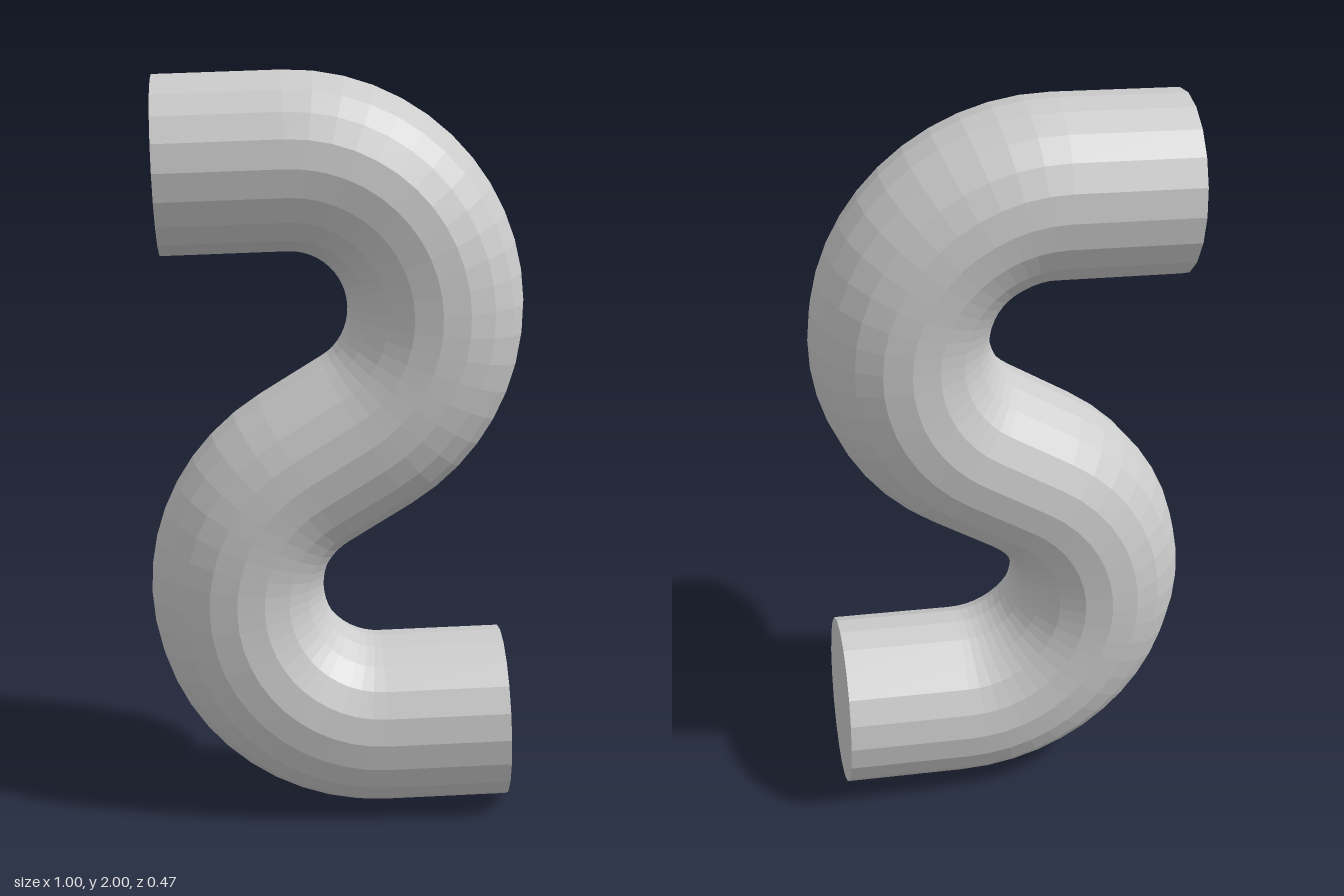
import * as THREE from 'three';

const SIDES = 20, ARC_STEPS = 20;
const TUBE_R = 0.234, BEND_R = 0.386;
const BEND = new THREE.Vector2(-0.12, 1.38); // centre of the upper bend
const STUB = 0.332; // length of the straight ends

// Upper half of the centre line: straight end, then the bend down to the middle
function upperHalf() {
  const half = Math.hypot(BEND.x, 1 - BEND.y);
  const start = THREE.MathUtils.degToRad(91.9);
  const end = Math.atan2(1 - BEND.y, -BEND.x) + Math.acos(BEND_R / half);
  const stations = [];
  for (let i = 0; i <= ARC_STEPS; i++) {
    const angle = THREE.MathUtils.lerp(start, end, i / ARC_STEPS);
    stations.push({ x: BEND.x + BEND_R * Math.cos(angle), y: BEND.y + BEND_R * Math.sin(angle), angle });
  }
  const first = stations[0];
  stations.unshift({ x: first.x - STUB * Math.sin(start), y: first.y + STUB * Math.cos(start), angle: start });
  return stations;
}

// Round cross-sections joined along the centre line, closed with flat ends
function tubeGeometry(stations) {
  const positions = [], index = [];
  for (const { x, y, angle } of stations) {
    for (let j = 0; j < SIDES; j++) {
      const t = (j / SIDES) * Math.PI * 2;
      const out = TUBE_R * Math.cos(t);
      positions.push(x + out * Math.cos(angle), y + out * Math.sin(angle), TUBE_R * Math.sin(t));
    }
  }
  const last = stations.length - 1;
  for (let i = 0; i < last; i++) {
    for (let j = 0; j < SIDES; j++) {
      const k = (j + 1) % SIDES;
      const a = i * SIDES + j, b = i * SIDES + k;
      index.push(a, b, a + SIDES, b, b + SIDES, a + SIDES);
    }
  }
  const base = last * SIDES;
  for (let j = 1; j < SIDES - 1; j++) {
    index.push(0, j + 1, j);
    index.push(base, base + j, base + j + 1);
  }
  const indexed = new THREE.BufferGeometry();
  indexed.setAttribute('position', new THREE.Float32BufferAttribute(positions, 3));
  indexed.setIndex(index);
  const geometry = indexed.toNonIndexed();
  geometry.computeVertexNormals();
  return geometry;
}

export function createModel() {
  const group = new THREE.Group();
  group.name = 'sBendPipe';

  // The lower half is the upper half turned by 180 degrees about the middle
  const upper = upperHalf();
  const lower = upper.map(({ x, y, angle }) => ({ x: -x, y: 2 - y, angle })).reverse();

  const material = new THREE.MeshStandardMaterial({ color: 0xcccccc, flatShading: true });
  const pipe = new THREE.Mesh(tubeGeometry([...upper, ...lower]), material);
  pipe.name = 'pipe';
  group.add(pipe);
  return group;
}
